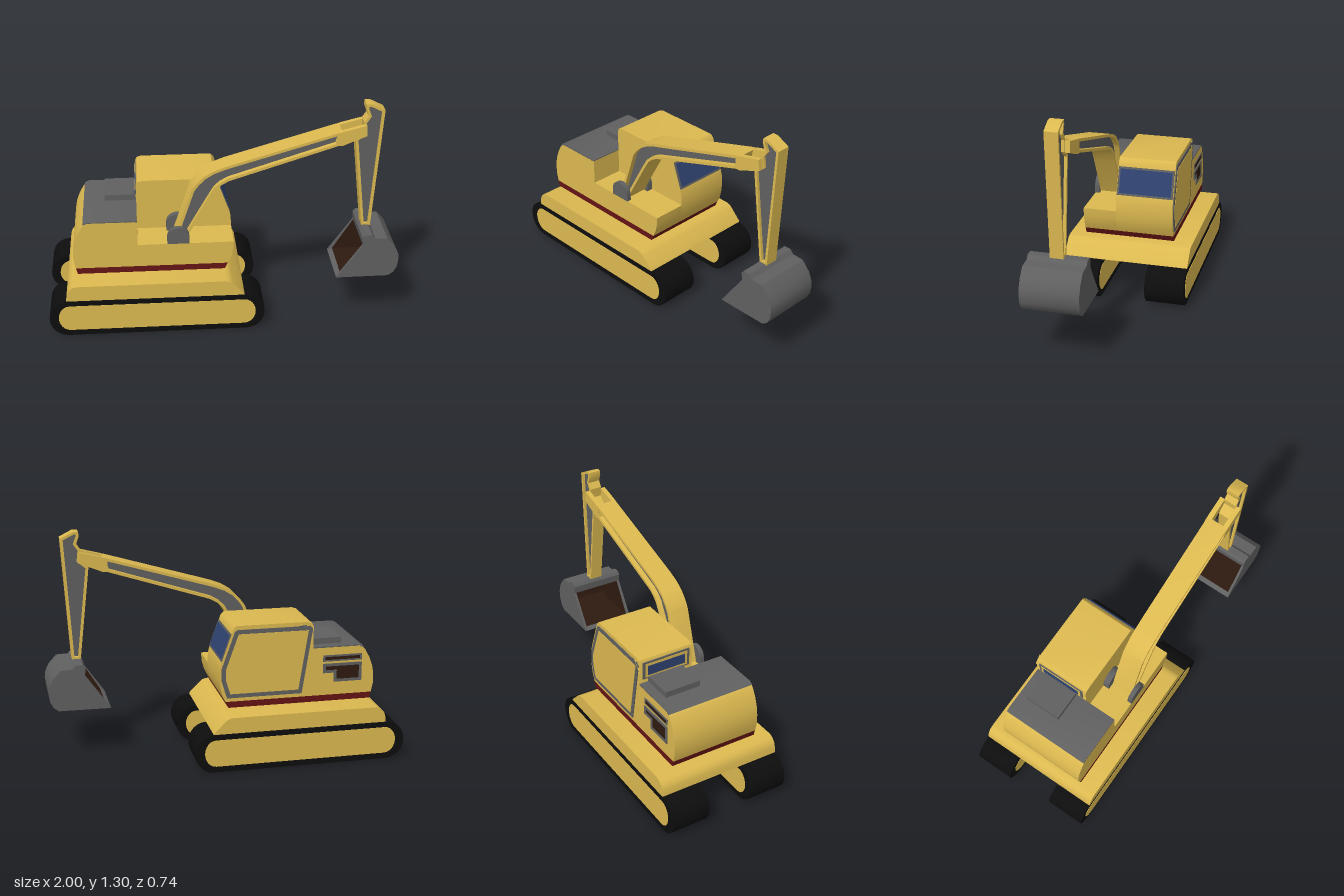
import * as THREE from 'three';
import { toCreasedNormals } from 'three/addons/utils/BufferGeometryUtils.js';

const mat = (color, side = THREE.FrontSide) => new THREE.MeshStandardMaterial({ color, side });
const yellow = mat(0xdcb950), grey = mat(0x606060), black = mat(0x0d0d0d), red = mat(0x651414);
const blue = mat(0x2f4370), brown = mat(0x2e1a10), liner = mat(0x2e1a10, THREE.BackSide);

// Moves every edge of a counter-clockwise outline inwards by d.
function inset(pts, d) {
  const n = pts.length;
  return pts.map((p, i) => {
    const a = pts[(i + n - 1) % n], b = pts[(i + 1) % n];
    const l1 = Math.hypot(p[0] - a[0], p[1] - a[1]), l2 = Math.hypot(b[0] - p[0], b[1] - p[1]);
    const n1 = [(a[1] - p[1]) / l1, (p[0] - a[0]) / l1], n2 = [(p[1] - b[1]) / l2, (b[0] - p[0]) / l2];
    const k = d / Math.max(0.35, 1 + n1[0] * n2[0] + n1[1] * n2[1]);
    return [p[0] + (n1[0] + n2[0]) * k, p[1] + (n1[1] + n2[1]) * k];
  });
}

// Extrudes an x-y outline from z0 to z1, optionally with a hole.
function slab(name, pts, z0, z1, material, hole) {
  const v = (list) => list.map((p) => new THREE.Vector2(p[0], p[1]));
  const shape = new THREE.Shape(v(pts));
  if (hole) shape.holes.push(new THREE.Path(v(hole)));
  let geo = new THREE.ExtrudeGeometry(shape, { depth: z1 - z0, bevelEnabled: false });
  geo.translate(0, 0, z0);
  geo = toCreasedNormals(geo, 0.6);
  const mesh = new THREE.Mesh(geo, material);
  mesh.name = name;
  return mesh;
}

function box(name, x0, x1, y0, y1, z0, z1, material) {
  const mesh = new THREE.Mesh(new THREE.BoxGeometry(x1 - x0, y1 - y0, z1 - z0), material);
  mesh.position.set((x0 + x1) / 2, (y0 + y1) / 2, (z0 + z1) / 2);
  mesh.name = name;
  return mesh;
}

const ring = (name, pts, width, z0, z1, material) => slab(name, pts, z0, z1, material, inset(pts, width));

// Outline with two rounded ends.
function stadium(x0, x1, y0, y1, rx) {
  const out = [], cy = (y0 + y1) / 2, ry = (y1 - y0) / 2;
  for (const [cx, start] of [[x1 - rx, -Math.PI / 2], [x0 + rx, Math.PI / 2]])
    for (let i = 0; i <= 12; i++) {
      const a = start + (i / 12) * Math.PI;
      out.push([cx + rx * Math.cos(a), cy + ry * Math.sin(a)]);
    }
  return out;
}

function undercarriage() {
  const g = new THREE.Group();
  g.name = 'undercarriage';
  for (const s of [1, -1]) {
    const x = s > 0 ? 0 : -0.013;
    const zs = [0.139 * s, 0.368 * s].sort((a, b) => a - b);
    g.add(slab('track', stadium(-0.987 + x, 0.238 + x, 0, 0.222, 0.105), zs[0], zs[1], black));
    g.add(slab('trackPanel', stadium(-0.935 + x, 0.186 + x, 0.035, 0.192, 0.065), zs[0] - 0.002, zs[1] + 0.002, yellow));
  }
  g.add(slab('chassis', [[-0.888, 0.225], [0.122, 0.225], [0.115, 0.237], [0.055, 0.297], [0.04, 0.31], [0.015, 0.317],
    [-0.83, 0.317], [-0.855, 0.308], [-0.875, 0.285], [-0.883, 0.262]], -0.368, 0.368, yellow));
  const neck = new THREE.Mesh(new THREE.CylinderGeometry(0.203, 0.203, 0.05, 40), yellow);
  neck.position.set(-0.405, 0.33, 0);
  neck.name = 'turntable';
  g.add(neck);
  return g;
}

function house() {
  const g = new THREE.Group();
  g.name = 'house';
  const W = 0.265;
  g.add(slab('redBand', [[-0.818, 0.342], [0.016, 0.342], [0.033, 0.378], [-0.827, 0.378]], -W, W, red));
  // engine housing with its rounded tail
  g.add(slab('engineHousing', [[-0.827, 0.378], [-0.475, 0.378], [-0.475, 0.662], [-0.752, 0.662], [-0.77, 0.654],
    [-0.785, 0.635], [-0.81, 0.59], [-0.829, 0.54], [-0.838, 0.49], [-0.838, 0.43]], -W, W, yellow));
  g.add(slab('engineDeck', [[-0.475, 0.66], [-0.475, 0.667], [-0.752, 0.667], [-0.777, 0.655], [-0.77, 0.65], [-0.75, 0.66]].reverse(), -W, W, grey));
  g.add(box('engineCover', -0.655, -0.475, 0.66, 0.702, -0.21, 0.005, grey));
  // cab and the lower platform beside it share the curved nose
  const nose = [[-0.475, 0.378], [0.033, 0.378], [0.052, 0.42], [0.063, 0.465], [0.067, 0.515]];
  g.add(slab('boomPlatform', [...nose, [-0.475, 0.515]], 0.07, W, yellow));
  g.add(slab('cab', [...nose, [0.064, 0.577], [0.055, 0.612], [-0.003, 0.775], [-0.012, 0.8], [-0.03, 0.818],
    [-0.44, 0.818], [-0.465, 0.81], [-0.475, 0.79]], -W, 0.07, yellow));

  // windscreen set on the sloping front
  const screen = new THREE.Group();
  screen.name = 'windscreen';
  screen.add(box('screenFrame', -0.006, 0.004, -0.083, 0.083, -0.165, 0.165, grey));
  screen.add(box('screenGlass', -0.004, 0.006, -0.071, 0.071, -0.153, 0.153, blue));
  screen.position.set(0.026, 0.692, -0.0975);
  screen.rotation.z = Math.atan2(0.058, 0.163);
  g.add(screen);

  // side door windows
  const door = [[-0.41, 0.4], [0.025, 0.4], [0.055, 0.5], [0.055, 0.575], [-0.02, 0.785], [-0.035, 0.795], [-0.455, 0.795], [-0.47, 0.78]];
  const inner = inset(door, 0.024);
  g.add(ring('doorFrame', door, 0.024, -W - 0.005, -W + 0.005, grey));
  g.add(ring('doorTrim', inner, 0.016, -W - 0.007, -W + 0.005, yellow));
  g.add(slab('doorGlass', inset(inner, 0.014), -W - 0.002, -W + 0.005, blue));
  g.add(box('doorPillar', -0.265, -0.23, 0.43, 0.765, -W - 0.007, -W + 0.004, yellow));

  // small window in the cab's back wall
  g.add(box('rearWindowFrame', -0.479, -0.47, 0.69, 0.795, -0.245, 0.05, grey));
  g.add(box('rearWindowTrim', -0.481, -0.47, 0.698, 0.785, -0.23, 0.035, yellow));
  g.add(box('rearWindowGlass', -0.483, -0.47, 0.712, 0.77, -0.215, 0.02, blue));

  // stepped engine vent on the cab side
  const vent = [[-0.765, 0.455], [-0.6, 0.455], [-0.6, 0.51], [-0.535, 0.51], [-0.535, 0.565], [-0.765, 0.565]];
  g.add(ring('ventFrame', vent, 0.016, -W - 0.005, -W + 0.004, grey));
  g.add(slab('ventOpening', inset(vent, 0.014), -W - 0.002, -W + 0.004, brown));
  g.add(box('upperVentFrame', -0.765, -0.535, 0.578, 0.615, -W - 0.004, -W + 0.004, grey));
  g.add(box('upperVentSlot', -0.752, -0.548, 0.588, 0.605, -W - 0.006, -W + 0.004, brown));
  return g;
}

// Arm with a raised rim and a recessed grey web.
function beam(name, pts, z0, z1, rim, depth) {
  const g = new THREE.Group();
  g.name = name;
  g.add(ring(name + 'Rim', pts, rim, z0, z1, yellow));
  g.add(slab(name + 'Web', inset(pts, rim * 0.6), z0 + depth, z1 - depth, grey));
  return g;
}

function arm() {
  const g = new THREE.Group();
  g.name = 'arm';
  // round-topped pivot brackets
  const bracket = [[-0.308, 0.515], [-0.183, 0.515]];
  for (let i = 0; i <= 12; i++) {
    const a = (i / 12) * Math.PI;
    bracket.push([-0.2455 + 0.0625 * Math.cos(a), 0.555 + 0.06 * Math.sin(a)]);
  }
  g.add(slab('pivotBracket', bracket, 0.07, 0.108, grey), slab('pivotBracket', bracket, 0.24, 0.267, grey));

  g.add(beam('boom', [[-0.27, 0.525], [-0.2, 0.525], [-0.176, 0.577], [-0.07, 0.765], [-0.03, 0.832], [0, 0.86], [0.04, 0.883],
    [0.64, 1.075], [0.66, 1.155], [0.64, 1.153], [0.02, 0.97], [-0.05, 0.943], [-0.1, 0.912], [-0.14, 0.872], [-0.168, 0.832]],
    0.11, 0.238, 0.016, 0.03));
  const lug = [[0.63, 1.076], [0.66, 1.075], [0.755, 1.113], [0.797, 1.13], [0.787, 1.19], [0.765, 1.185], [0.66, 1.158], [0.635, 1.148]];
  g.add(slab('forkLug', lug, 0.108, 0.137, yellow), slab('forkLug', lug, 0.212, 0.24, yellow));
  g.add(beam('stick', [[0.8, 0.56], [0.85, 0.56], [0.893, 1.268], [0.86, 1.285], [0.82, 1.305], [0.79, 1.305], [0.787, 1.28],
    [0.803, 1.235], [0.78, 1.2], [0.787, 1.14], [0.738, 1.1]], 0.137, 0.212, 0.015, 0.016));
  return g;
}

function bucket() {
  const g = new THREE.Group();
  g.name = 'bucket';
  const z0 = 0.01, z1 = 0.336;
  // back wall from the lip round to the hinge, then the same path inside
  const outer = [[0.647, 0.294], [0.945, 0.296], [0.975, 0.318], [0.994, 0.355], [1, 0.4], [0.997, 0.435], [0.975, 0.485], [0.928, 0.537],
    [0.86, 0.54], [0.84, 0.563], [0.8, 0.563], [0.787, 0.545], [0.79, 0.5]];
  const inside = [[0.672, 0.308], [0.935, 0.31], [0.968, 0.335], [0.986, 0.4], [0.962, 0.475], [0.92, 0.523], [0.795, 0.523], [0.79, 0.5]];
  g.add(slab('bucketShell', [...outer, ...inside.slice(0, -1).reverse()], z0, z1, grey));
  g.add(slab('bucketSide', outer, z0, z0 + 0.014, grey), slab('bucketSide', outer, z1 - 0.014, z1, grey));
  g.add(slab('bucketLining', inset(inside, 0.001), z0 + 0.016, z1 - 0.016, liner));
  return g;
}

export function createModel() {
  const model = new THREE.Group();
  model.name = 'excavator';
  model.add(undercarriage(), house(), arm(), bucket());
  return model;
}
